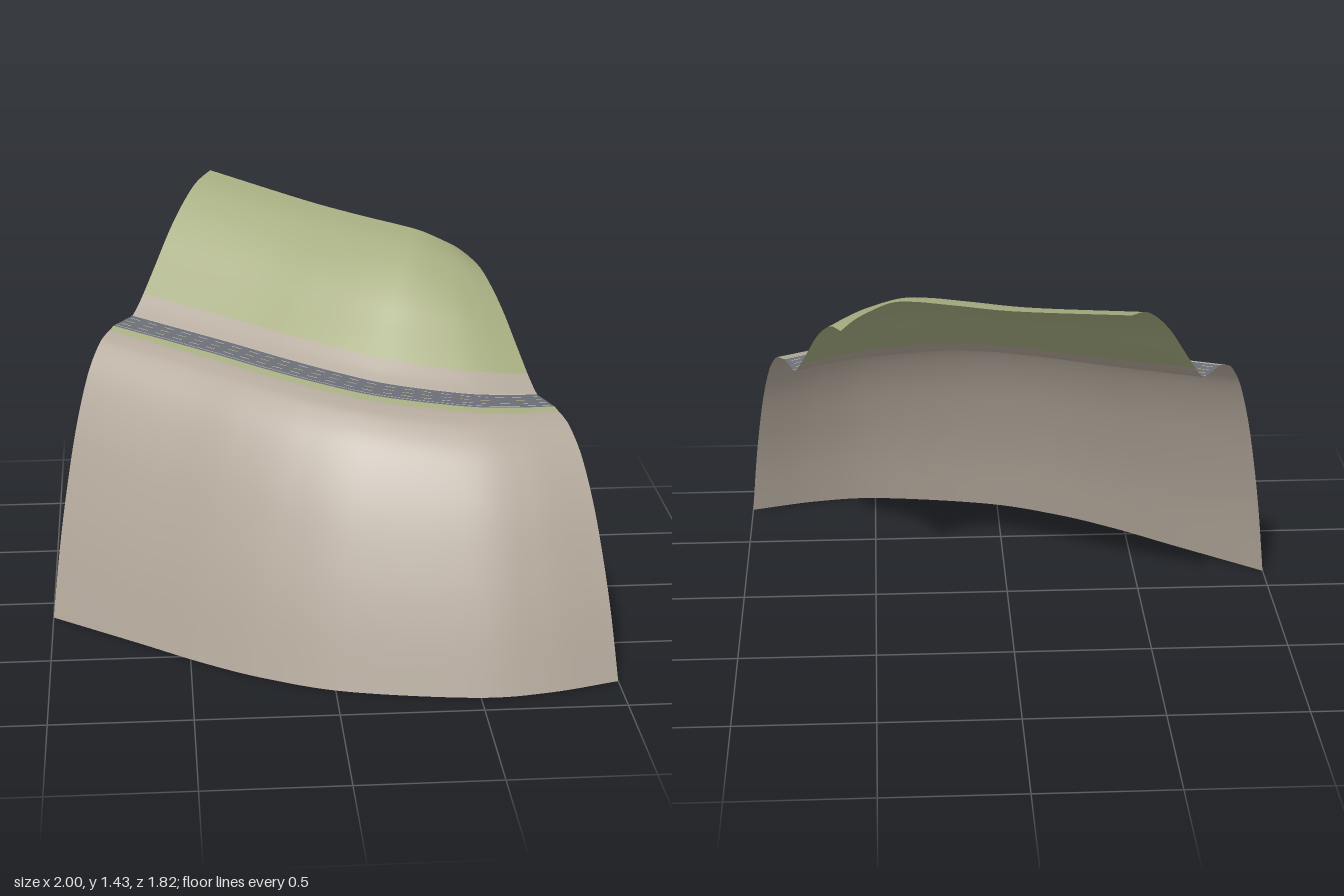
import * as THREE from 'three';

const mat = (name, color) => {
  const m = new THREE.MeshStandardMaterial({ color, side: THREE.DoubleSide });
  m.name = name;
  return m;
};

// A rail is a smooth 3D line running from the right end to the left end of the hillside
const rail = (pts) => new THREE.CatmullRomCurve3(pts.map((p) => new THREE.Vector3(...p)), false, 'centripetal');

const roadEdge = rail([[-0.75, 1.01, -0.265], [-0.4, 0.975, -0.03], [-0.2, 0.955, 0.115], [0, 0.935, 0.24],
  [0.2, 0.913, 0.325], [0.48, 0.884, 0.363], [0.65, 0.868, 0.35], [0.83, 0.85, 0.3]]);
const foot = rail([[-1, 0, 0.13], [-0.68, 0, 0.38], [-0.46, 0, 0.555], [-0.24, 0, 0.7],
  [0.04, 0, 0.825], [0.48, 0, 0.905], [0.74, 0, 0.885], [1, 0, 0.813]]);
const crest = rail([[-0.36, 1.435, -0.91], [0, 1.37, -0.67], [0.2, 1.345, -0.53], [0.34, 1.33, -0.44],
  [0.42, 1.315, -0.402], [0.5, 1.28, -0.393], [0.555, 1.25, -0.397], [0.6, 1.215, -0.405]]);

// All rails share stations numbered 0..7, so one station value marks one cross-section
const onRail = (curve, station) => {
  const { points } = curve;
  const i = Math.min(Math.floor(station), points.length - 2), f = station - i;
  const spline = (k) => THREE.MathUtils.clamp(k, 0, points.length - 1);
  const [a, b, c, d] = [i - 1, i, i + 1, i + 2].map((k) => points[spline(k)]);
  const mix = (k) => {
    const m0 = (c[k] - a[k]) / (i === 0 ? 1 : 2), m1 = (d[k] - b[k]) / (i + 2 >= points.length ? 1 : 2);
    const f2 = f * f, f3 = f2 * f;
    return (2 * f3 - 3 * f2 + 1) * b[k] + (f3 - 2 * f2 + f) * m0 + (3 * f2 - 2 * f3) * c[k] + (f3 - f2) * m1;
  };
  return new THREE.Vector3(mix('x'), mix('y'), mix('z'));
};

// Sweep a profile of [across, height] fractions between the road edge and another rail
function strip(name, material, target, profile, u0 = 0, u1 = 1, lift = 0, steps = 80) {
  const pos = [], index = [], n = profile.length;
  const last = roadEdge.points.length - 1;
  for (let i = 0; i <= steps; i++) {
    const station = roadEdge.getUtoTmapping(u0 + (u1 - u0) * (i / steps)) * last;
    const a = onRail(roadEdge, station), b = onRail(target, station);
    for (const [t, h] of profile) {
      const fall = target === foot ? 1 - h : h;
      pos.push(a.x + (b.x - a.x) * t, a.y + (b.y - a.y) * fall + lift, a.z + (b.z - a.z) * t);
    }
  }
  for (let i = 0; i < steps; i++) {
    for (let j = 0; j < n - 1; j++) {
      const k = i * n + j;
      index.push(k, k + n, k + 1, k + 1, k + n, k + n + 1);
    }
  }
  const geo = new THREE.BufferGeometry();
  geo.setAttribute('position', new THREE.Float32BufferAttribute(pos, 3));
  geo.setIndex(index);
  geo.computeVertexNormals();
  const mesh = new THREE.Mesh(geo, material);
  mesh.name = name;
  return mesh;
}

const smooth = (pts, n) =>
  new THREE.SplineCurve(pts.map((p) => new THREE.Vector2(...p))).getPoints(n).map((p) => [p.x, p.y]);

export function createModel() {
  const group = new THREE.Group();
  group.name = 'hillsideRoad';
  const rock = mat('rock', 0xb3a89b);
  const grass = mat('grass', 0xa6ac80);
  const asphalt = mat('asphalt', 0x6d6f78);
  const white = mat('white paint', 0xc8c8c4);
  const yellow = mat('yellow paint', 0xc2b878);

  // Cliff below the road, from the foot up to the grass verge
  group.add(strip('cliff', rock, foot, smooth([[1, 0], [0.88, 0.25], [0.75, 0.465], [0.585, 0.685],
    [0.4, 0.86], [0.23, 0.953], [0.12, 0.982], [0.06, 0.99]], 36)));
  group.add(strip('verge', grass, foot, [[0.06, 0.99], [0.03, 0.995], [0, 1]]));

  // Road surface
  const roadEnd = 0.185;
  group.add(strip('road', asphalt, crest, [[0, 0], [roadEnd, 0]]));

  // Bare bank and grassy slope above the road
  group.add(strip('bank', rock, crest, smooth([[roadEnd, 0], [0.235, 0.06], [0.295, 0.15]], 8)));
  group.add(strip('grassSlope', grass, crest, smooth([[0.295, 0.15], [0.43, 0.38], [0.57, 0.62],
    [0.71, 0.81], [0.85, 0.945], [1, 1]], 30)));

  // Painted lines: solid at the edges, dashed between the lanes
  const line = (t, w) => [[t - w / 2, 0], [t + w / 2, 0]];
  for (const t of [0.01, roadEnd - 0.01]) {
    group.add(strip('edgeLine', white, crest, line(t, 0.004), 0, 1, 0.003));
  }
  const dashes = 24;
  for (const [t, paint] of [[0.047, white], [roadEnd / 2, yellow], [0.138, white]]) {
    for (let i = 0; i < dashes; i++) {
      group.add(strip('laneDash', paint, crest, line(t, 0.005), (i + 0.2) / dashes, (i + 0.75) / dashes, 0.003, 3));
    }
  }
  return group;
}
